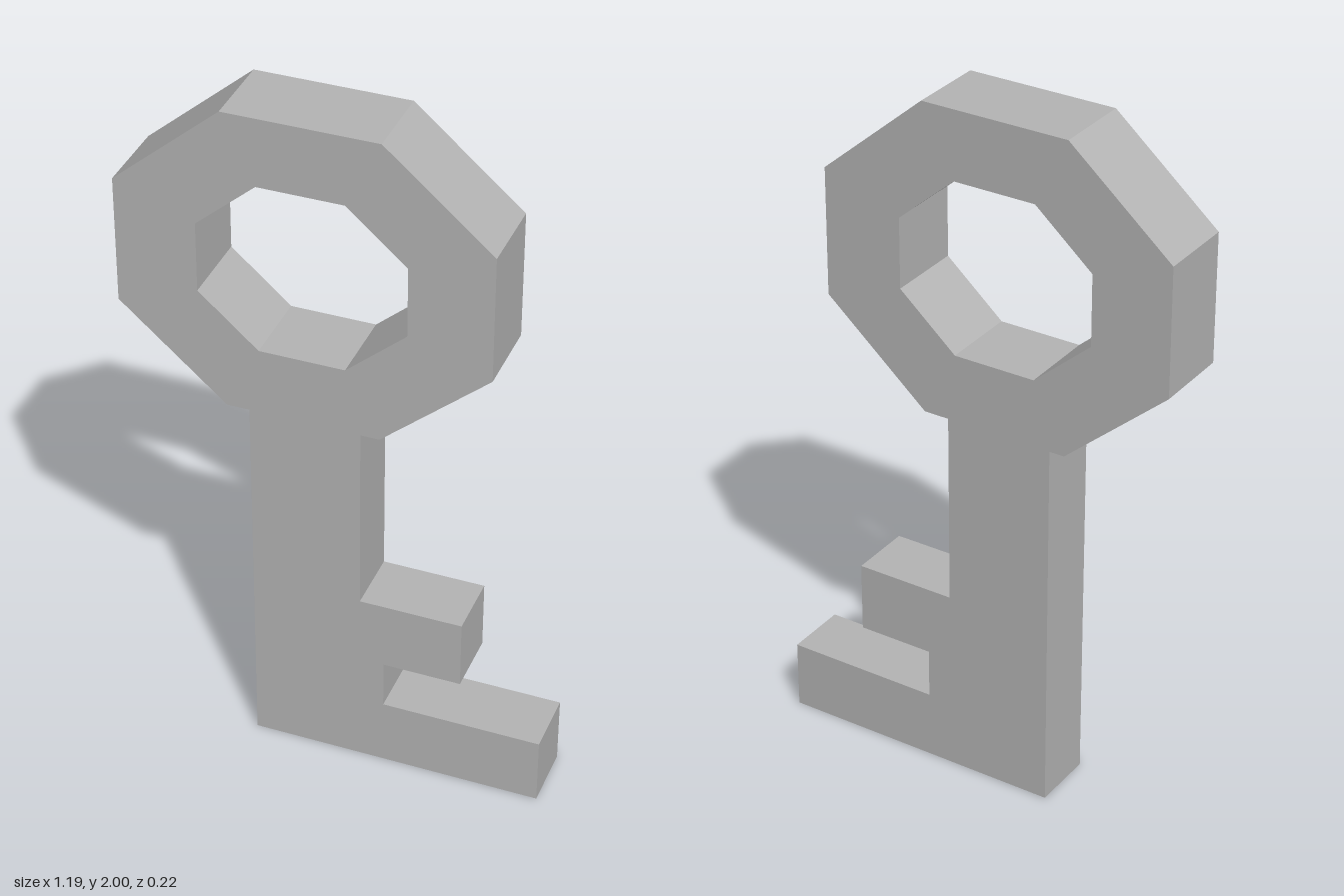
import * as THREE from 'three';

const metal = new THREE.MeshStandardMaterial({ color: 0xb4b4b4 });
metal.name = 'grey metal';

// Octagon from its bounds and the inset corner positions
function octagon(x0, x1, x2, x3, y0, y1, y2, y3) {
  return [[x1, y0], [x2, y0], [x3, y1], [x3, y2], [x2, y3], [x1, y3], [x0, y2], [x0, y1]]
    .map(([x, y]) => new THREE.Vector2(x, y));
}

// Flat plate centred on z = 0
function plate(name, shape, depth) {
  const geometry = new THREE.ExtrudeGeometry(shape, { depth, bevelEnabled: false });
  geometry.translate(0, 0, -depth / 2);
  const mesh = new THREE.Mesh(geometry, metal);
  mesh.name = name;
  return mesh;
}

export function createModel() {
  const key = new THREE.Group();
  key.name = 'key';

  // Eight-sided ring handle
  const ring = new THREE.Shape(octagon(-0.595, -0.296, 0.13, 0.43, 1.118, 1.378, 1.743, 2));
  ring.holes.push(new THREE.Path(octagon(-0.37, -0.203, 0.035, 0.202, 1.312, 1.458, 1.66, 1.805)));
  key.add(plate('bow', ring, 0.222));

  // Shaft with two teeth cut as one profile
  const blade = new THREE.Shape([
    [-0.239, 0], [0.592, 0], [0.592, 0.2], [0.14, 0.2], [0.14, 0.344], [0.361, 0.344],
    [0.361, 0.547], [0.07, 0.547], [0.07, 1.118], [-0.241, 1.118],
  ].map(([x, y]) => new THREE.Vector2(x, y)));
  key.add(plate('shaftAndTeeth', blade, 0.184));

  return key;
}
